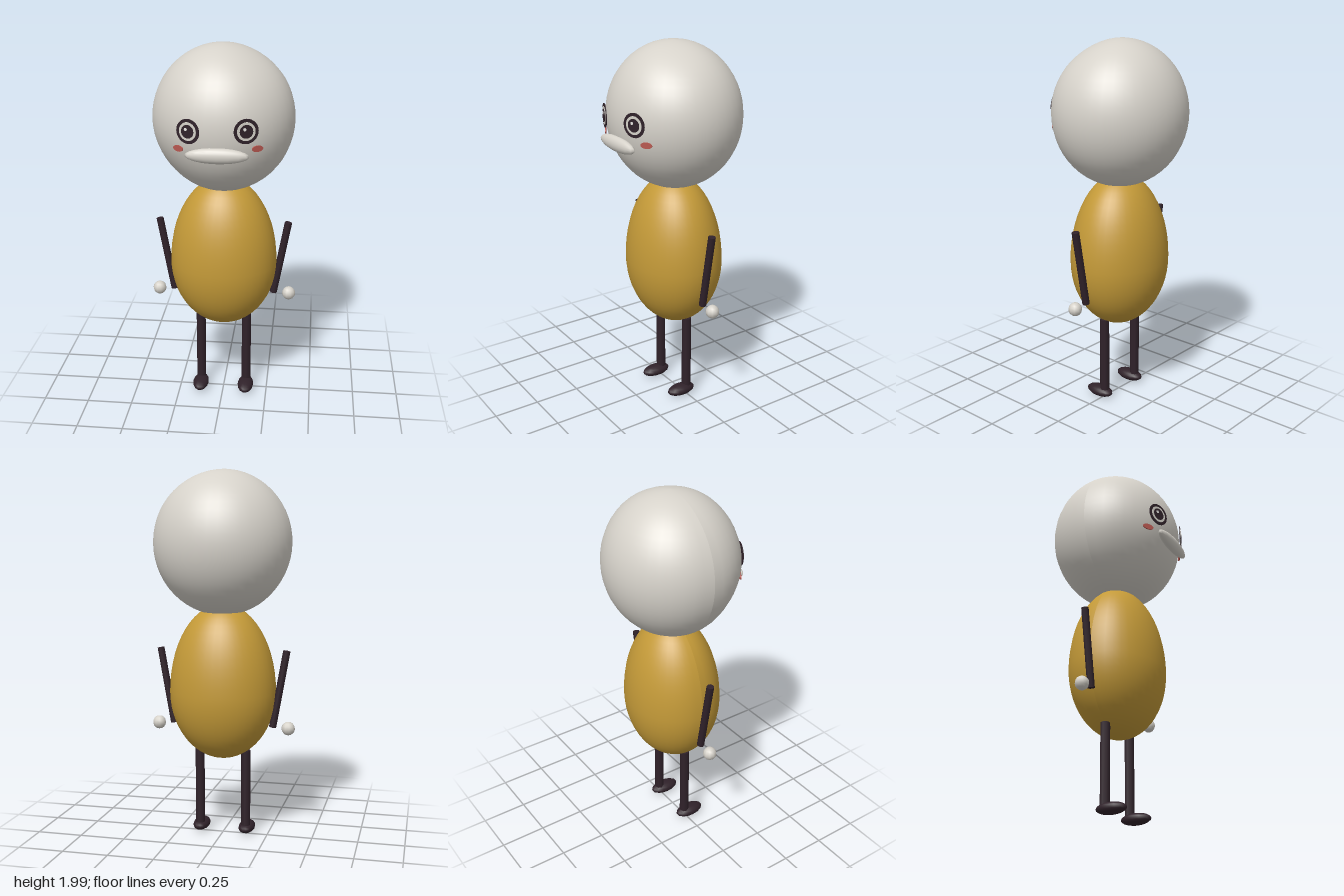
import * as THREE from 'three';

const mat = (name, color) => {
  const m = new THREE.MeshStandardMaterial({ color });
  m.name = name;
  return m;
};

export function createModel() {
  const root = new THREE.Group();
  root.name = 'standingFigure';

  const pale = mat('pale grey', 0xd6d2ca);
  const ochre = mat('ochre', 0xc49a38);
  const dark = mat('dark plum', 0x30222a);
  const blush = mat('blush red', 0xb85850);
  const white = mat('white', 0xf2f0ec);

  const add = (parent, name, geometry, material, x = 0, y = 0, z = 0) => {
    const mesh = new THREE.Mesh(geometry, material);
    mesh.name = name;
    mesh.position.set(x, y, z);
    parent.add(mesh);
    return mesh;
  };
  const ellipsoid = (rx, ry, rz, w, h) => new THREE.SphereGeometry(1, w, h).scale(rx, ry, rz);

  // Round head with two faint dents
  const headGeo = new THREE.SphereGeometry(1, 40, 28);
  const dents = [
    [new THREE.Vector3(0.45, 0.85, 0.25).normalize(), 0.03],
    [new THREE.Vector3(-0.6, -0.5, 0.5).normalize(), 0.025],
  ];
  const p = headGeo.attributes.position;
  const v = new THREE.Vector3();
  for (let i = 0; i < p.count; i++) {
    v.fromBufferAttribute(p, i);
    let r = 1;
    for (const [dir, depth] of dents) r -= depth * Math.exp((v.dot(dir) - 1) * 12);
    p.setXYZ(i, v.x * r, v.y * r, v.z * r);
  }
  headGeo.scale(0.373, 0.388, 0.353);
  headGeo.computeVertexNormals();
  add(root, 'head', headGeo, pale, 0, 1.612, -0.012);

  // Egg-shaped body: longer above its widest line than below
  const bodyGeo = new THREE.SphereGeometry(1, 40, 28);
  const b = bodyGeo.attributes.position;
  for (let i = 0; i < b.count; i++) {
    const y = b.getY(i);
    b.setXYZ(i, b.getX(i) * 0.292, y * (y > 0 ? 0.48 : 0.37), b.getZ(i) * 0.252);
  }
  bodyGeo.computeVertexNormals();
  add(root, 'body', bodyGeo, ochre, 0, 0.805, -0.008);

  // Wide mouth
  add(root, 'mouth', ellipsoid(0.16, 0.04, 0.031, 16, 12), pale, 0, 1.505, 0.335);

  for (const s of [-1, 1]) {
    const side = s > 0 ? 'left' : 'right';

    // Eye: stacked thin discs
    const eye = new THREE.Group();
    eye.name = side + 'Eye';
    eye.position.set(s * 0.143, s > 0 ? 1.63 : 1.622, 0.322);
    eye.rotation.y = s * 0.37;
    const disc = (name, r, z, m, x = 0, y = 0) =>
      add(eye, name, new THREE.CylinderGeometry(r, r, 0.004, 28).rotateX(Math.PI / 2), m, x, y, z);
    disc('eyeRim', 0.063, 0, dark);
    disc('eyeWhite', 0.047, 0.002, pale);
    disc('pupil', 0.034, 0.004, dark);
    disc('eyeGlint', 0.008, 0.006, white, -0.009, 0.011);
    root.add(eye);

    // Cheek: thin oval
    const cheekGeo = new THREE.CylinderGeometry(1, 1, 0.006, 20).rotateX(Math.PI / 2).scale(0.031, 0.016, 1);
    const cheek = add(root, side + 'Cheek', cheekGeo, blush, s * 0.197, s > 0 ? 1.535 : 1.525, 0.287);
    cheek.rotation.y = s * 0.58;

    // Stick arm leaning out at the shoulder, with a loose ball hand
    const arm = add(root, side + 'Arm', new THREE.CylinderGeometry(0.02, 0.02, 0.425, 8), dark, s * 0.315, 0.828, -0.008);
    arm.rotation.z = -s * 0.175;
    add(root, side + 'Hand', ellipsoid(0.037, 0.037, 0.037, 10, 8), pale, s * 0.364, 0.615, -0.01);

    // Stick leg and oval foot
    add(root, side + 'Leg', new THREE.CylinderGeometry(0.026, 0.026, 0.44, 8), dark, s * 0.13, 0.26, -0.008);
    add(root, side + 'Foot', ellipsoid(0.045, 0.031, 0.085, 14, 10), dark, s * 0.13, 0.035, 0.028);
  }
  return root;
}
